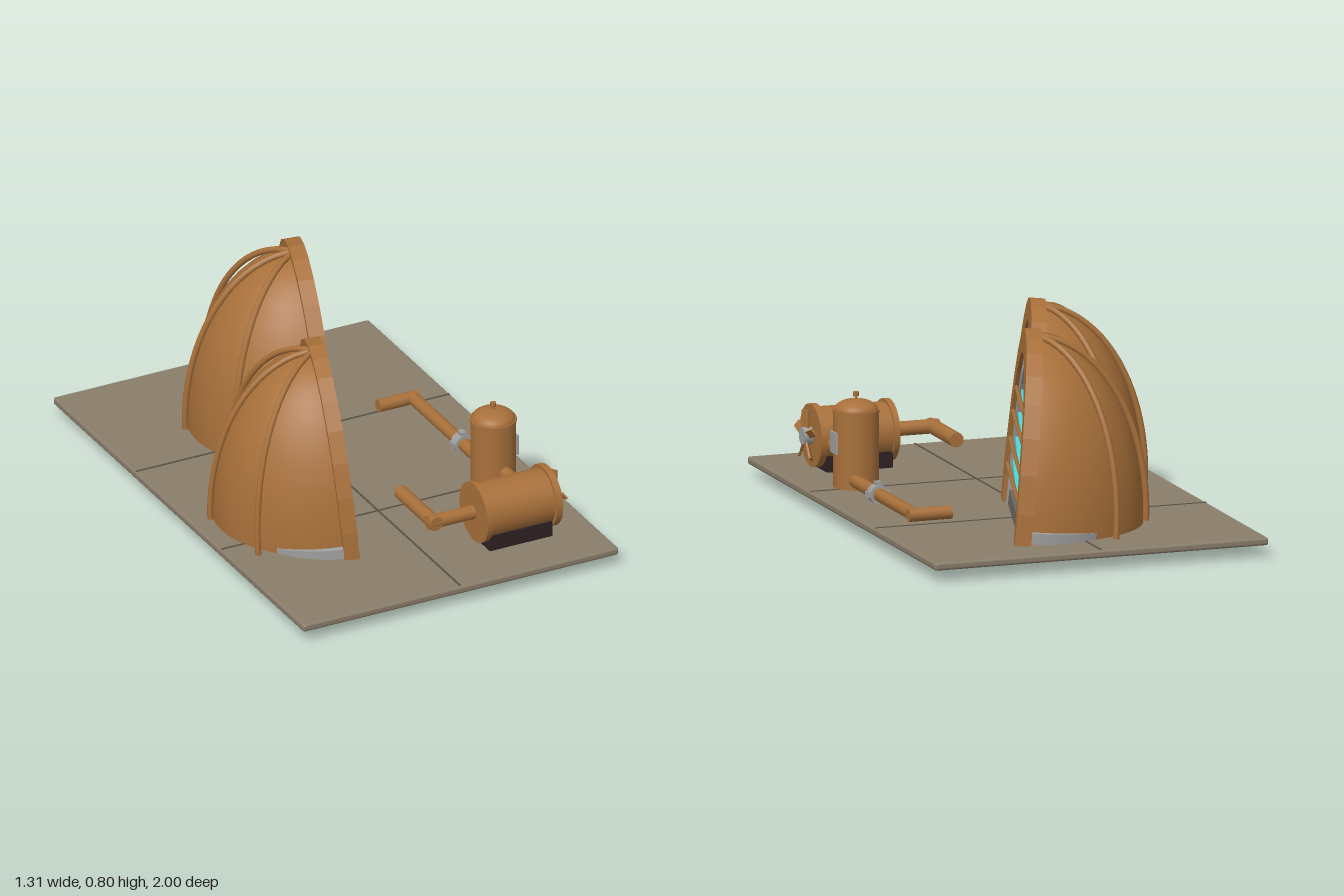
import * as THREE from 'three';
import { RoundedBoxGeometry } from 'three/addons/geometries/RoundedBoxGeometry.js';

const mat = (name, color, extra = {}) => {
  const m = new THREE.MeshStandardMaterial({ color, ...extra });
  m.name = name;
  return m;
};

export function createModel() {
  const copper = mat('copper', 0xa8703a);
  const copperShell = copper.clone();
  copperShell.side = THREE.DoubleSide;
  const stone = mat('stone', 0x8a7d6b);
  const seamMat = mat('seam', 0x5a5248);
  const steel = mat('steel', 0xa0a0a0);
  const sillMat = mat('sill grey', 0x6c6962);
  const dark = mat('dark interior', 0x2e2224);
  const cyan = mat('cyan', 0x4cd2d2);

  const model = new THREE.Group();
  model.name = 'domeStation';

  const add = (parent, name, geo, material, x = 0, y = 0, z = 0) => {
    const mesh = new THREE.Mesh(geo, material);
    mesh.name = name;
    mesh.position.set(x, y, z);
    parent.add(mesh);
    return mesh;
  };
  const box = (p, name, w, h, d, m, x, y, z) => add(p, name, new THREE.BoxGeometry(w, h, d), m, x, y, z);

  // Cylinder laid between two points
  const rod = (p, name, a, b, r, m, sides = 16) => {
    const from = new THREE.Vector3(...a), to = new THREE.Vector3(...b);
    const dir = to.clone().sub(from);
    const mesh = add(p, name, new THREE.CylinderGeometry(r, r, dir.length(), sides), m);
    mesh.position.copy(from).lerp(to, 0.5);
    mesh.quaternion.setFromUnitVectors(new THREE.Vector3(0, 1, 0), dir.normalize());
    return mesh;
  };

  // Half-ellipse outline, right foot to left foot
  const halfEllipse = (w, h, n = 16) => Array.from({ length: n + 1 }, (_, i) => {
    const a = (Math.PI * i) / n;
    return new THREE.Vector2(Math.cos(a) * w, Math.sin(a) * h);
  });
  const band = (w, h, wi, hi, depth) => new THREE.ExtrudeGeometry(
    new THREE.Shape([...halfEllipse(w, h), ...halfEllipse(wi, hi).reverse()]),
    { depth, bevelEnabled: false });

  // Ground plate with joint lines
  add(model, 'groundPlate', new RoundedBoxGeometry(1.31, 0.03, 2, 2, 0.01), stone, 0, 0.06, 0);
  for (const z of [-0.345, 0.335]) box(model, 'plateSeam', 1.3, 0.003, 0.008, seamMat, 0, 0.0755, z);
  box(model, 'plateSeam', 0.008, 0.003, 1.98, seamMat, 0, 0.0755, 0);

  // Half dome with an arched, slatted opening facing local +z, leaning back
  function dome(name, x, z, scale) {
    const g = new THREE.Group();
    g.name = name;
    g.position.set(x, 0.045, z);
    g.rotation.set(-0.088, 1.277, 0, 'YXZ');
    g.scale.setScalar(scale);
    model.add(g);

    const shell = new THREE.SphereGeometry(1, 24, 14, Math.PI, Math.PI, 0, Math.PI / 2);
    shell.scale(0.405, 0.73, 0.46);
    add(g, 'domeShell', shell, copperShell, 0, 0, -0.04);

    add(g, 'domeFooting', new THREE.CylinderGeometry(0.428, 0.428, 0.04, 32, 1, false, Math.PI / 2, Math.PI),
      steel, 0, 0.062, -0.03);

    add(g, 'archRim', band(0.435, 0.76, 0.36, 0.67, 0.06), copper, 0, 0, -0.06);
    add(g, 'archLining', band(0.365, 0.675, 0.322, 0.62, 0.06), steel, 0, 0, -0.075);
    add(g, 'backPanel', new THREE.ShapeGeometry(new THREE.Shape(halfEllipse(0.34, 0.64))), dark, 0, 0, -0.072);
    box(g, 'sill', 0.66, 0.08, 0.05, sillMat, 0, 0.045, -0.045);

    // Thin rails and sloping slats across the opening
    for (const y of [0.18, 0.28, 0.39, 0.49]) {
      const w = 0.345 * Math.sqrt(1 - (y / 0.66) ** 2);
      rod(g, 'rail', [-w, y, -0.005], [w, y, -0.005], 0.008, copper, 8);
    }
    for (const y of [0.14, 0.235, 0.34, 0.445]) {
      const w = 0.31 * Math.sqrt(1 - ((y + 0.02) / 0.62) ** 2);
      box(g, 'slat', w * 2, 0.014, 0.045, cyan, 0, y, -0.043).rotation.z = -0.19;
    }

    // Ribs standing slightly off the shell, meeting at the crown
    for (const a of [-0.76, 0, 0.76]) {
      const pts = Array.from({ length: 10 }, (_, i) => {
        const t = (Math.PI / 2) * (i / 9), r = 0.47 * Math.cos(t);
        return new THREE.Vector3(Math.sin(a) * r, 0.008 + 0.73 * Math.sin(t), -0.04 - Math.cos(a) * r);
      });
      add(g, 'rib', new THREE.TubeGeometry(new THREE.CatmullRomCurve3(pts), 24, 0.012, 8), copperShell);
    }
  }
  dome('frontDome', -0.11, 0.245, 0.95);
  dome('backDome', 0.155, -0.41, 1);

  // Horizontal tank with end flanges on a saddle
  const tank = new THREE.Group();
  tank.name = 'horizontalTank';
  model.add(tank);
  const ty = 0.2, tz = 0.715;
  rod(tank, 'tankBody', [0.21, ty, tz], [0.495, ty, tz], 0.105, copper, 32);
  rod(tank, 'tankFlange', [0.2, ty, tz], [0.222, ty, tz], 0.116, copper, 32);
  rod(tank, 'tankFlange', [0.485, ty, tz], [0.51, ty, tz], 0.118, copper, 32);
  box(tank, 'tankSaddle', 0.26, 0.06, 0.18, dark, 0.35, 0.105, tz);

  // Fan on the tank end
  rod(tank, 'fanHub', [0.505, ty, tz], [0.545, ty, tz], 0.033, steel, 16);
  for (let i = 0; i < 5; i++) {
    const arm = new THREE.Group();
    arm.name = 'fanBlade';
    arm.position.set(0.53, ty, tz);
    arm.rotation.x = (i * Math.PI * 2) / 5;
    tank.add(arm);
    box(arm, 'blade', 0.008, 0.07, 0.03, copper, 0, 0.062, 0).rotation.y = 0.6;
  }

  // Elbow pipe from the tank toward the front dome
  rod(model, 'inletPipe', [0.035, ty, 0.45], [0.035, ty, 0.735], 0.028, copper, 10);
  rod(model, 'inletPipe', [0.01, ty, 0.71], [0.21, ty, 0.71], 0.027, copper, 10);
  // Link between the two tanks
  rod(model, 'linkPipe', [0.46, 0.18, 0.47], [0.46, 0.18, 0.64], 0.027, copper, 10);

  // Upright tank: body, seam ring, domed cap, valve and gauge
  const up = new THREE.Group();
  up.name = 'uprightTank';
  up.position.set(0.46, 0, 0.37);
  model.add(up);
  rod(up, 'uprightBody', [0, 0.073, 0], [0, 0.36, 0], 0.084, copper, 32);
  rod(up, 'uprightRing', [0, 0.355, 0], [0, 0.366, 0], 0.087, copper, 32);
  const cap = new THREE.SphereGeometry(0.082, 32, 8, 0, Math.PI * 2, 0, Math.PI / 2);
  cap.scale(1, 0.5, 1);
  add(up, 'uprightCap', cap, copper, 0, 0.363, 0);
  rod(up, 'valveStem', [0, 0.4, 0], [0, 0.418, 0], 0.004, copper, 8);
  rod(up, 'valveKnob', [0, 0.414, 0], [0, 0.431, 0], 0.011, copper, 12);
  box(up, 'gaugePanel', 0.008, 0.08, 0.064, steel, 0.086, 0.245, 0);

  // Low outlet pipe with elbow and clamp
  rod(model, 'outletPipe', [0.488, 0.11, 0.33], [0.488, 0.11, -0.335], 0.025, copper, 10);
  rod(model, 'outletPipe', [0.512, 0.11, -0.328], [0.345, 0.11, -0.328], 0.025, copper, 10);
  rod(model, 'clampRing', [0.488, 0.11, 0.045], [0.488, 0.11, 0.085], 0.036, steel, 12);
  box(model, 'clampBar', 0.085, 0.02, 0.032, steel, 0.488, 0.11, 0.065);
  box(model, 'clampTop', 0.02, 0.03, 0.03, steel, 0.488, 0.142, 0.065);

  return model;
}
